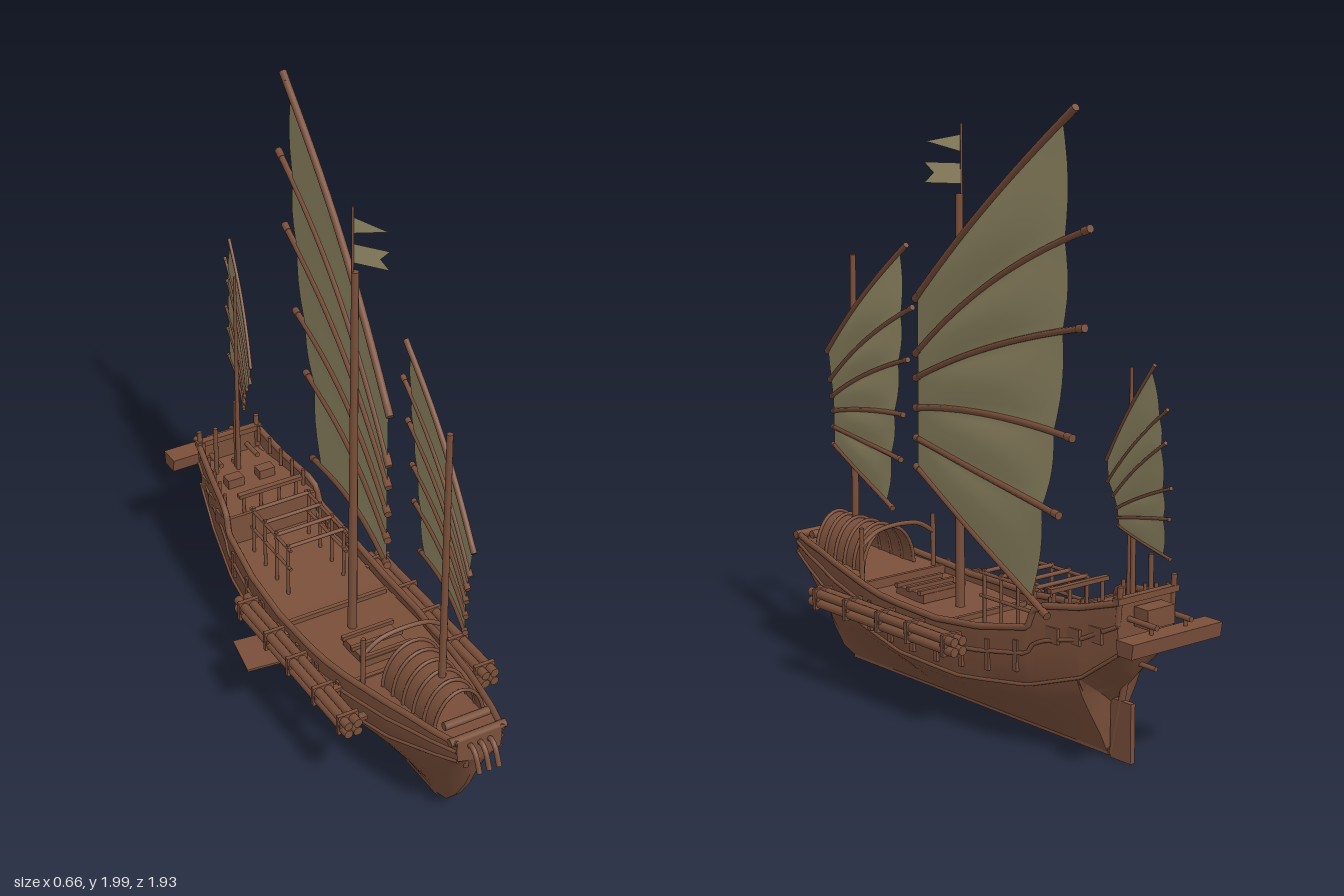
import * as THREE from 'three';
import { toCreasedNormals } from 'three/addons/utils/BufferGeometryUtils.js';

const CX = 0.035; // centre line of the ship
const wood = new THREE.MeshStandardMaterial({ color: 0x7a4f3a, side: THREE.DoubleSide });
wood.name = 'wood';
const canvas = new THREE.MeshStandardMaterial({ color: 0x968c68, side: THREE.DoubleSide });
canvas.name = 'canvas';
const V = (x, y, z) => new THREE.Vector3(x, y, z);

// Hull tables: [z, value]
const WIDTH = [[-0.74, 0.115], [-0.6, 0.14], [-0.4, 0.178], [-0.2, 0.198], [0, 0.203], [0.2, 0.2], [0.4, 0.182], [0.6, 0.15], [0.8, 0.108], [0.9, 0.08]];
const RAIL = [[-0.74, 0.55], [-0.6, 0.51], [-0.47, 0.49], [-0.43, 0.47], [-0.405, 0.41], [-0.2, 0.37], [0, 0.35], [0.3, 0.355], [0.5, 0.38], [0.7, 0.405], [0.9, 0.42]];
const CHINE = [[-0.74, 0.39], [-0.6, 0.29], [-0.4, 0.225], [-0.1, 0.185], [0.2, 0.19], [0.6, 0.255], [0.9, 0.35]];
const KEEL = [[-0.74, 0.37], [-0.7, 0.3], [-0.6, 0.19], [-0.585, 0.025], [0.68, 0.025], [0.74, 0.045], [0.79, 0.1], [0.84, 0.18], [0.88, 0.27], [0.9, 0.33]];
const DECK = [[-0.74, 0.47], [-0.43, 0.45], [-0.42, 0.345], [0, 0.31], [0.42, 0.335], [0.43, 0.36], [0.9, 0.4]];

function at(table, z) {
  for (let i = 1; i < table.length; i++) {
    const [a, va] = table[i - 1], [b, vb] = table[i];
    if (z <= b) return va + (vb - va) * Math.max(0, (z - a) / (b - a));
  }
  return table[table.length - 1][1];
}
const stations = [...new Set([WIDTH, RAIL, CHINE, KEEL, DECK].flatMap(t => t.map(p => p[0]))
  .concat(Array.from({ length: 33 }, (_, i) => -0.74 + i * 0.05).filter(z => z < 0.9)))].sort((a, b) => a - b);

// Surface through rows of points
function loft(rows, crease = 0.6) {
  const pos = [], idx = [], n = rows[0].length;
  rows.forEach(r => r.forEach(p => pos.push(p.x, p.y, p.z)));
  for (let i = 0; i < rows.length - 1; i++) for (let j = 0; j < n - 1; j++) {
    const a = i * n + j, b = a + n;
    idx.push(a, a + 1, b, b, a + 1, b + 1);
  }
  const g = new THREE.BufferGeometry();
  g.setAttribute('position', new THREE.Float32BufferAttribute(pos, 3));
  g.setIndex(idx);
  return toCreasedNormals(g, crease);
}

function section(z) {
  const w = at(WIDTH, z), k = at(KEEL, z), c = at(CHINE, z), r = at(RAIL, z);
  const half = [[w, r], [w * 1.01, (r + c) / 2], [w * 0.96, c], [w * 0.79, c - (c - k) * 0.25],
    [w * 0.52, c - (c - k) * 0.52], [w * 0.25, c - (c - k) * 0.78], [0.01, k]];
  return [...half.map(([x, y]) => V(CX + x, y, z)), ...half.reverse().map(([x, y]) => V(CX - x, y, z))];
}

export function createModel() {
  const ship = new THREE.Group();
  ship.name = 'sailingJunk';
  const add = (name, geo, mat = wood) => {
    const m = new THREE.Mesh(geo, mat);
    m.name = name;
    ship.add(m);
    return m;
  };
  const box = (name, w, h, d, x, y, z) => {
    const m = add(name, new THREE.BoxGeometry(w, h, d));
    m.position.set(x, y, z);
    return m;
  };
  const rod = (name, a, b, r, r2 = r) => {
    const d = b.clone().sub(a);
    const m = add(name, new THREE.CylinderGeometry(r2, r, d.length(), 10));
    m.position.copy(a).addScaledVector(d, 0.5);
    m.quaternion.setFromUnitVectors(V(0, 1, 0), d.normalize());
    return m;
  };
  const tube = (name, pts, r, seg = 40) =>
    add(name, new THREE.TubeGeometry(new THREE.CatmullRomCurve3(pts), seg, r, 7));

  // Hull, end walls, deck and keel
  add('hull', loft(stations.map(section), 0.5));
  for (const z of [-0.74, 0.9]) {
    const s = section(z);
    add(z > 0 ? 'bowWall' : 'sternWall', loft([s.slice(0, 7), s.slice(7).reverse()]));
  }
  add('deck', loft(stations.map(z => [-0.985, 0.985].map(s => V(CX + s * at(WIDTH, z), at(DECK, z), z))), 0.4));
  box('keel', 0.02, 0.02, 1.27, CX, 0.025, 0.045);

  // Rails, wales, fenders and side spars on both sides
  const line = (s, f, yf) => stations.map(z => V(CX + s * at(WIDTH, z) * f, yf(z), z));
  for (const s of [-1, 1]) {
    tube('topRail', line(s, 1, z => at(RAIL, z)), 0.011, 90);
    tube('chineWale', line(s, 0.97, z => at(CHINE, z)), 0.006, 60);
    tube('upperWale', line(s, 1.01, z => at(CHINE, z) * 0.45 + at(RAIL, z) * 0.55), 0.007, 60);
    for (const z of [-0.36, -0.24, -0.12, 0, 0.12, 0.24, 0.36])
      box('hullRib', 0.014, 0.1, 0.018, CX + s * at(WIDTH, z) * 1.0, at(RAIL, z) - 0.09, z);
    for (const z of [-0.5, -0.58, -0.66])
      box('sternPanel', 0.012, 0.05, 0.055, CX + s * at(WIDTH, z), at(RAIL, z) - 0.09, z);
    for (const dx of [0.235, 0.268]) for (const y of [0.29, 0.322])
      rod('sideSpar', V(CX + s * dx, y, -0.17), V(CX + s * dx, y, 0.57), 0.0155);
    for (const z of [-0.13, 0.05, 0.2, 0.37, 0.53]) {
      box('sparBracket', 0.1, 0.012, 0.025, CX + s * 0.235, 0.306, z);
      box('sparLashing', 0.074, 0.07, 0.014, CX + s * 0.251, 0.306, z);
    }
    for (let i = 0; i < 5; i++) {
      const z = -0.48 - i * 0.06, y = at(RAIL, z);
      rod('poopStanchion', V(CX + s * (at(WIDTH, z) - 0.012), y - 0.04, z), V(CX + s * (at(WIDTH, z) - 0.012), y + 0.025, z), 0.006);
    }
    rod('sternPost', V(CX + s * 0.11, 0.48, -0.735), V(CX + s * 0.11, 0.6, -0.745), 0.009);
    rod('sternBeam', V(CX + s * 0.07, 0.495, -0.66), V(CX + s * 0.07, 0.492, -0.86), 0.009);
    rod('beamHanger', V(CX + s * 0.07, 0.49, -0.835), V(CX + s * 0.07, 0.45, -0.835), 0.006);
  }

  // Stern trough, rudder and horizontal side board
  const trough = new THREE.Shape([[-0.03, 0.42], [0.03, 0.42], [0.037, 0.467], [-0.037, 0.467]].map(p => new THREE.Vector2(...p)));
  const tr = add('sternTrough', new THREE.ExtrudeGeometry(trough, { depth: 0.365, bevelEnabled: false }));
  tr.rotation.y = Math.PI / 2;
  tr.position.set(CX - 0.183, 0, -0.84);
  box('rudder', 0.018, 0.19, 0.09, CX, 0.105, -0.643);
  rod('rudderStock', V(CX, 0.02, -0.598), V(CX, 0.48, -0.7), 0.011);
  rod('rudderBar', V(CX, 0.335, -0.66), V(CX, 0.333, -0.785), 0.008);
  box('lowerSternShelf', 0.16, 0.014, 0.05, CX, 0.42, -0.755);
  const board = box('sideBoard', 0.17, 0.008, 0.16, -0.235, 0.243, 0.02);
  board.rotation.set(0, -0.18, 0.06);

  // Poop fittings
  box('poopBulkhead', 0.33, 0.11, 0.012, CX, 0.4, -0.425);
  box('poopRail', 0.24, 0.014, 0.02, CX, 0.52, -0.44);
  for (const x of [-0.1, -0.035, 0.035, 0.1]) rod('poopRailPost', V(CX + x, 0.45, -0.44), V(CX + x, 0.52, -0.44), 0.006);
  box('sternRail', 0.25, 0.02, 0.025, CX, 0.555, -0.74);
  box('sternLocker', 0.11, 0.06, 0.06, CX, 0.5, -0.775);
  for (const s of [-1, 1]) box('poopChest', 0.06, 0.035, 0.04, CX + s * 0.06, 0.475, -0.59);
  rod('helmPost', V(-0.05, 0.46, -0.67), V(-0.05, 0.65, -0.67), 0.008);

  // Frame over the after deck
  for (const s of [-1, 1]) {
    for (const y of [0.43, 0.505]) rod('frameRail', V(CX + s * 0.105, y, -0.1), V(CX + s * 0.105, y, -0.38), 0.006);
    for (const z of [-0.12, -0.2, -0.28, -0.36]) rod('framePost', V(CX + s * 0.105, 0.32, z), V(CX + s * 0.105, 0.52, z), 0.006);
  }
  for (const z of [-0.12, -0.2, -0.28, -0.36]) rod('frameCrossbar', V(CX - 0.11, 0.51, z), V(CX + 0.11, 0.51, z), 0.007);

  // Hatch and deck beams
  box('hatch', 0.17, 0.03, 0.14, CX, 0.34, 0.28);
  for (const z of [0.22, 0.28, 0.34]) box('hatchBar', 0.19, 0.015, 0.014, CX, 0.36, z);
  box('deckBeam', 0.37, 0.02, 0.015, CX, 0.318, 0.02);
  box('deckBeam', 0.35, 0.03, 0.015, CX, 0.35, 0.425);

  // Arched canopy on the foredeck with hoops, and the gantry behind it
  const arch = (z, r, h) => Array.from({ length: 17 }, (_, i) => {
    const a = Math.PI * i / 16;
    return V(CX + Math.cos(a) * r, 0.37 + Math.sin(a) * h, z);
  });
  add('canopy', loft([arch(0.5, 0.105, 0.135), arch(0.78, 0.088, 0.135)]));
  for (let i = 0; i < 6; i++) tube('canopyHoop', arch(0.5 + i * 0.056, 0.107 - i * 0.0034, 0.14), 0.006, 20);
  for (const s of [-1, 1]) rod('gantryPost', V(CX + s * 0.15, 0.34, 0.45), V(CX + s * 0.15, 0.54, 0.45), 0.008);
  tube('gantryBeam', [V(CX - 0.15, 0.48, 0.45), V(CX - 0.08, 0.52, 0.45), V(CX + 0.08, 0.52, 0.45), V(CX + 0.15, 0.48, 0.45)], 0.008, 16);

  // Bow beam with anchor prongs
  rod('bowBeam', V(CX - 0.1, 0.42, 0.885), V(CX + 0.1, 0.42, 0.885), 0.014);
  rod('windlass', V(CX - 0.08, 0.43, 0.82), V(CX + 0.08, 0.43, 0.82), 0.014);
  for (const x of [-0.035, 0, 0.035])
    tube('anchorProng', [V(CX + x, 0.3, 0.88), V(CX + x, 0.4, 0.9), V(CX + x, 0.39, 0.93), V(CX + x, 0.33, 0.96)], 0.009, 14);

  // Masts
  rod('mainMast', V(0.028, 0.3, 0.135), V(0.028, 1.66, 0.135), 0.016, 0.012);
  rod('flagPole', V(0.022, 1.6, 0.13), V(0.022, 1.88, 0.13), 0.004);
  rod('foreMast', V(0.03, 0.36, 0.685), V(0.03, 1.4, 0.685), 0.013, 0.01);
  rod('mizzenMast', V(0.03, 0.45, -0.66), V(0.03, 1.23, -0.66), 0.009, 0.005);
  rod('mizzenStep', V(0.03, 0.45, -0.675), V(0.03, 0.73, -0.675), 0.008);

  // Flags, as flat plates swung off the pole
  for (const [name, pts] of [['pennant', [[0, 1.845], [0.115, 1.82], [0, 1.79]]],
    ['swallowtailFlag', [[0, 1.755], [0.12, 1.755], [0.09, 1.722], [0.12, 1.69], [0, 1.69]]]]) {
    const f = add(name, new THREE.ShapeGeometry(new THREE.Shape(pts.map(p => new THREE.Vector2(...p)))), canvas);
    f.position.set(0.022, 0, 0.13);
    f.rotation.y = -0.93;
  }

  // Battened sail; batten = [front z, front y, aft z, aft y, aft x, arch, aft sail edge z]
  function sail(name, frontX, battens, r, bulge) {
    const point = (b, t) => V(frontX + (b[4] - frontX) * t + Math.sin(Math.PI * t) * bulge,
      b[1] + (b[3] - b[1]) * t + 4 * t * (1 - t) * b[5], b[0] + (b[2] - b[0]) * t);
    const rows = [];
    battens.forEach((b, i) => {
      tube(name + 'Batten', Array.from({ length: 9 }, (_, k) => point(b, k / 8)), i === 0 ? r * 1.2 : r, 16);
      const next = battens[i + 1];
      for (let k = 0; k < (next ? 6 : 1); k++) {
        const f = k / 6, puff = Math.sin(Math.PI * f);
        rows.push(Array.from({ length: 17 }, (_, j) => {
          const u = j / 16, on = c => point(c, 0.015 + u * ((c[6] - c[0]) / (c[2] - c[0]) - 0.015));
          const p = next ? on(b).lerp(on(next), f) : on(b);
          p.x += bulge * 0.8 * puff * Math.sin(Math.PI * u);
          p.z -= bulge * puff * u ** 6;
          return p;
        }));
      }
    });
    add(name, loft(rows, 1.2), canvas);
    // Butt ends of the battens
    battens.forEach(b => {
      rod(name + 'BattenEnd', point(b, 0.97), point(b, 1.002), r * 1.2);
      rod(name + 'BattenEnd', point(b, -0.002), point(b, 0.03), r * 1.2);
    });
  }
  sail('mainSail', 0.01, [
    [0.38, 1.29, -0.55, 1.99, 0.16, 0.01, -0.49],
    [0.38, 1.11, -0.66, 1.655, 0.2, 0.045, -0.535],
    [0.38, 1.03, -0.667, 1.37, 0.225, 0.025, -0.555],
    [0.38, 0.93, -0.645, 1.045, 0.25, 0.03, -0.545],
    [0.38, 0.83, -0.61, 0.81, 0.27, 0.01, -0.515],
    [0.38, 0.735, -0.555, 0.49, 0.265, 0.015, -0.46]], 0.0105, 0.018);
  sail('foreSail', 0.04, [
    [0.82, 1.055, 0.3, 1.485, 0.11, 0.01, 0.335],
    [0.805, 0.96, 0.22, 1.3, 0.15, 0.02, 0.29],
    [0.795, 0.905, 0.22, 1.135, 0.17, 0.015, 0.28],
    [0.79, 0.855, 0.22, 0.96, 0.19, 0.012, 0.28],
    [0.79, 0.8, 0.22, 0.815, 0.2, 0.008, 0.29],
    [0.79, 0.74, 0.265, 0.647, 0.2, 0.012, 0.31]], 0.008, 0.012);
  sail('mizzenSail', 0.03, [
    [-0.555, 0.93, -0.83, 1.27, 0.1, 0.005, -0.815],
    [-0.56, 0.865, -0.905, 1.155, 0.12, 0.01, -0.865],
    [-0.585, 0.825, -0.91, 1.06, 0.13, 0.008, -0.885],
    [-0.6, 0.79, -0.945, 0.935, 0.14, 0.006, -0.9],
    [-0.605, 0.762, -0.945, 0.845, 0.145, 0.004, -0.91],
    [-0.61, 0.738, -0.955, 0.73, 0.15, 0.002, -0.915]], 0.005, 0.008);

  return ship;
}
